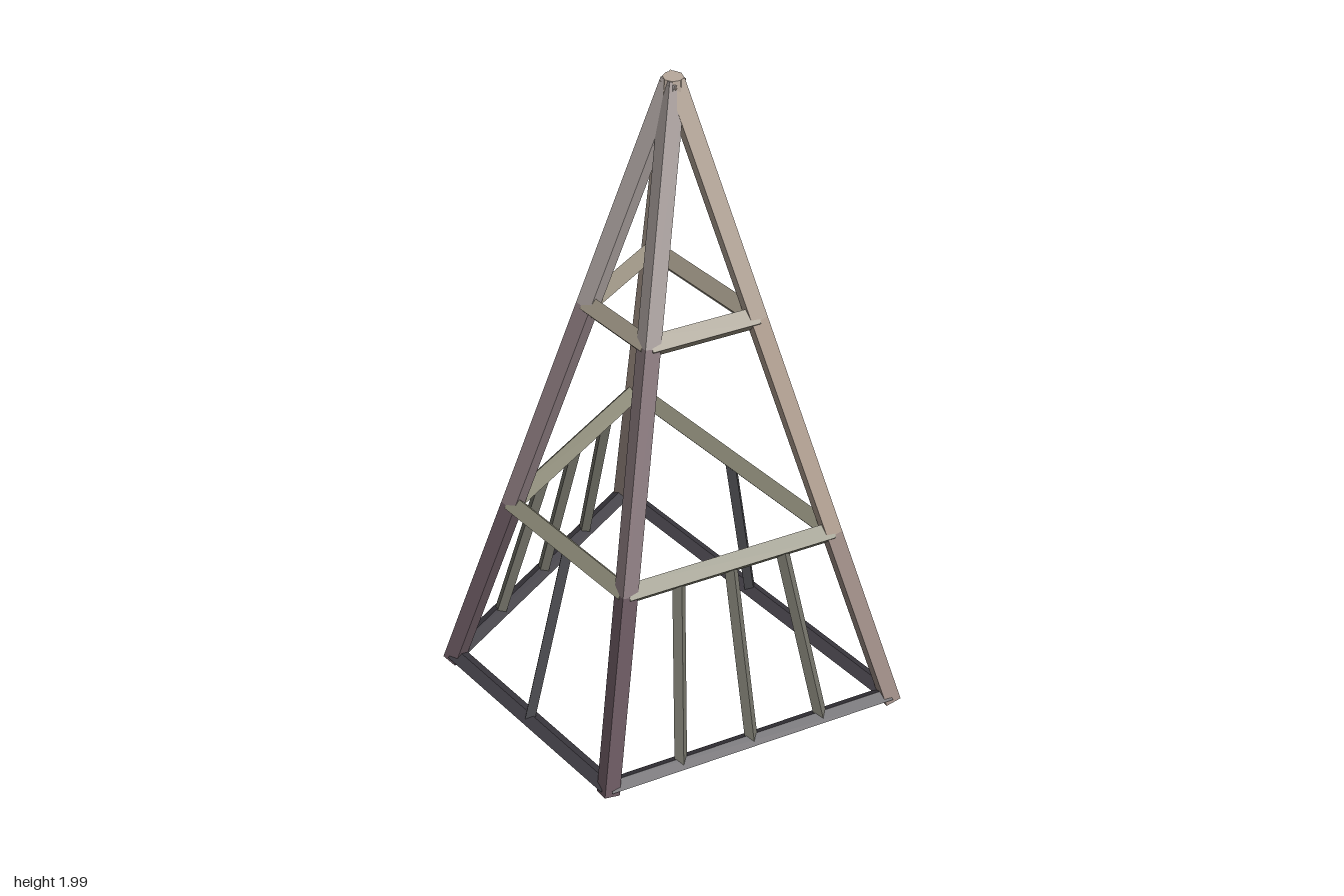
import * as THREE from 'three';

const paint = (color) => new THREE.MeshStandardMaterial({ color, flatShading: true });
const apex = new THREE.Vector3(0, 1.99, -0.105);
const UP = new THREE.Vector3(0, 1, 0);

// Four feet, in order round the base
const feet = [[0.364, 0.437], [0.615, -0.444], [-0.615, -0.444], [-0.364, 0.437]]
  .map(([x, z]) => new THREE.Vector3(x, 0.018, z));

// Weathered wood: dark and purplish near the ground, paler and tan above
const frontLegPaints = [0x68575f, 0x8a7a7e, 0xaca3a0].map(paint);
const backLegPaints = [0x9e8d86, 0xb4a294, 0xb8a99c].map(paint);
const frontSlatPaint = paint(0x4c4c50);
const sideSlatPaint = paint(0x77766c);

// Point on a leg at a given height
function onLeg(i, y) {
  const foot = feet[i % 4];
  return foot.clone().lerp(apex, (y - foot.y) / (apex.y - foot.y));
}

// Diamond-section bar from a to b; one ridge points towards ref
function bar(name, material, a, b, halfWidth, halfDepth, ref) {
  const dir = b.clone().sub(a);
  const geo = new THREE.CylinderGeometry(1, 1, dir.length(), 4);
  geo.scale(halfWidth, 1, halfDepth);
  dir.normalize();
  const side = dir.clone().cross(ref).normalize();
  const out = side.clone().cross(dir);
  const mid = a.clone().add(b).multiplyScalar(0.5);
  geo.applyMatrix4(new THREE.Matrix4().makeBasis(side, dir, out).setPosition(mid));
  const mesh = new THREE.Mesh(geo, material);
  mesh.name = name;
  return mesh;
}

export function createModel() {
  const model = new THREE.Group();
  model.name = 'pyramidFrame';

  // Leaning corner legs, one length per bay between the rails
  const joints = [feet[0].y, 0.61, 1.3, apex.y];
  feet.forEach((foot, i) => {
    const paints = foot.z > 0 ? frontLegPaints : backLegPaints;
    const out = foot.clone().sub(apex).setY(0);
    paints.forEach((material, bay) => {
      model.add(bar('leg', material, onLeg(i, joints[bay]), onLeg(i, joints[bay + 1]), 0.034, 0.034, out));
    });
  });

  // Small flat cap where the legs meet
  const cap = new THREE.Mesh(new THREE.CylinderGeometry(0.028, 0.034, 0.05, 8), backLegPaints[2]);
  cap.name = 'apexCap';
  cap.position.set(0, 1.975, apex.z);
  model.add(cap);

  // Rails round the base, the middle and the upper part
  const rails = [
    ['baseRail', 0x3e3b42, 0.037, 0.03, 0.019],
    ['middleRail', 0x8c8a78, 0.61, 0.03, 0.037],
    ['upperRail', 0x989080, 1.3, 0.03, 0.037],
  ];
  for (const [name, color, y, halfWidth, halfHeight] of rails) {
    const material = paint(color);
    for (let i = 0; i < 4; i++) {
      model.add(bar(name, material, onLeg(i, y), onLeg(i + 1, y), halfWidth, halfHeight, UP));
    }
  }

  // Slats between base and middle rails: three per side, one front and back
  for (let i = 0; i < 4; i++) {
    const isSide = i % 2 === 0;
    const edge = feet[(i + 1) % 4].clone().sub(feet[i]);
    const out = new THREE.Vector3(-edge.z, 0, edge.x);
    for (const f of isSide ? [0.25, 0.5, 0.75] : [0.5]) {
      const low = onLeg(i, 0.025).lerp(onLeg(i + 1, 0.025), f);
      const high = onLeg(i, 0.61).lerp(onLeg(i + 1, 0.61), f);
      model.add(bar('slat', isSide ? sideSlatPaint : frontSlatPaint, low, high, 0.02, 0.02, out));
    }
  }
  return model;
}
